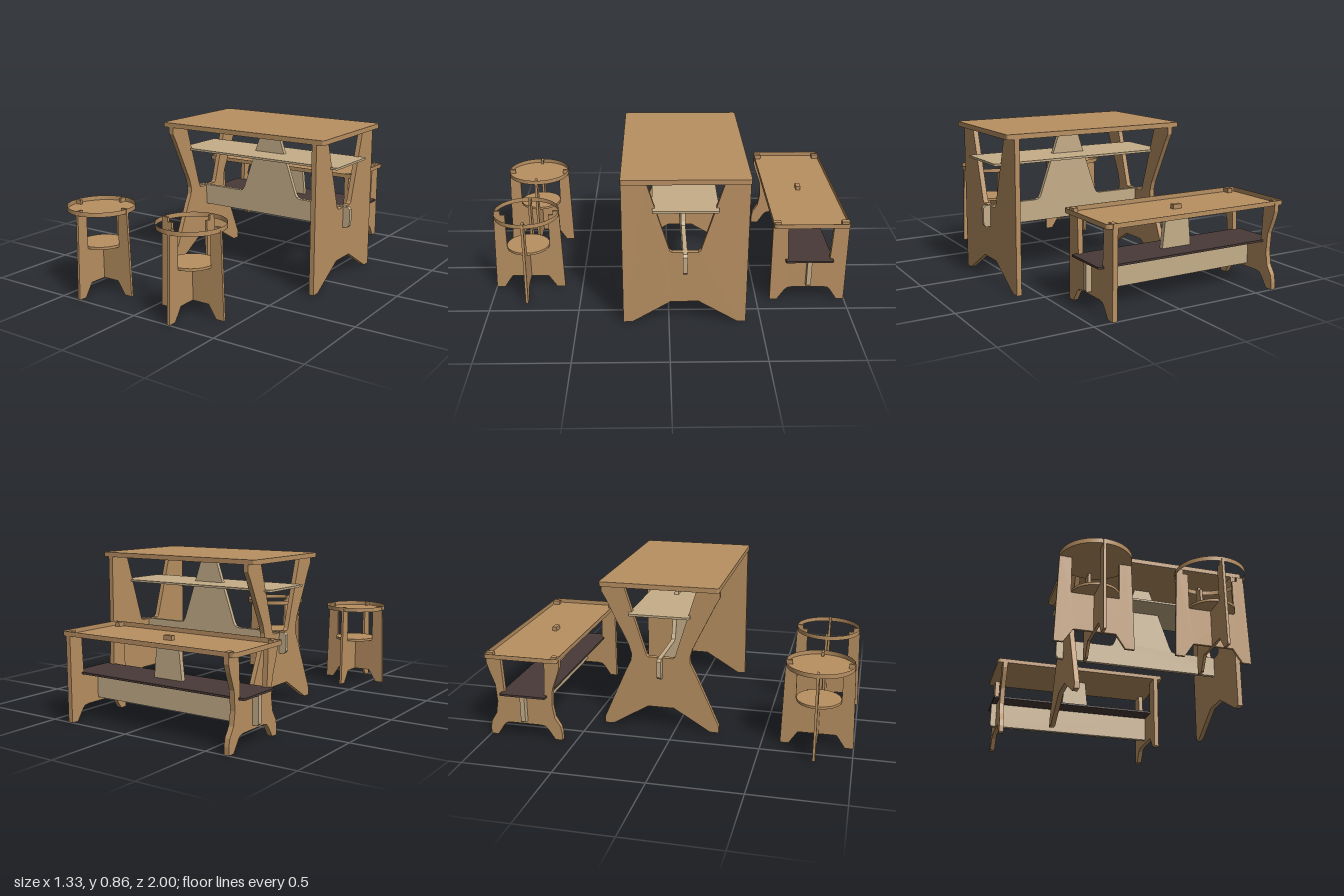
import * as THREE from 'three';

const wood = new THREE.MeshStandardMaterial({ color: 0xb89062, side: THREE.DoubleSide });
wood.name = 'wood';
const pale = new THREE.MeshStandardMaterial({ color: 0xc5ae89 });
pale.name = 'paleWood';
const dark = new THREE.MeshStandardMaterial({ color: 0x483a37 });
dark.name = 'darkBrown';

function add(parent, name, geometry, material) {
  const mesh = new THREE.Mesh(geometry, material);
  mesh.name = name;
  parent.add(mesh);
  return mesh;
}

// Symmetric outline from its right half, listed from bottom centre to top centre
function mirrored(half) {
  const left = half.map(([x, y]) => [-x, y]).reverse();
  return new THREE.Shape([...half, ...left].map(([x, y]) => new THREE.Vector2(x, y)));
}

// Board cut from a shape, centred on its thickness
function board(shape, thickness) {
  return new THREE.ExtrudeGeometry(shape, { depth: thickness, bevelEnabled: false, curveSegments: 6 })
    .translate(0, 0, -thickness / 2);
}

function roundedRect(w, h, r, Type = THREE.Shape) {
  const s = new Type();
  const x = w / 2 - r, y = h / 2 - r;
  s.absarc(x, y, r, 0, Math.PI / 2);
  s.absarc(-x, y, r, Math.PI / 2, Math.PI);
  s.absarc(-x, -y, r, Math.PI, Math.PI * 1.5);
  s.absarc(x, -y, r, Math.PI * 1.5, Math.PI * 2);
  s.closePath();
  return s;
}

// Upright end panel lying in the zy plane
function endPanel(parent, name, half, x, z) {
  const mesh = add(parent, name, board(mirrored(half), 0.028).rotateY(-Math.PI / 2), wood);
  mesh.position.set(x, 0, z);
}

function slab(parent, name, material, w, d, r, x, y0, y1, z) {
  const geometry = board(roundedRect(w, d, r), y1 - y0).rotateX(-Math.PI / 2);
  add(parent, name, geometry, material).position.set(x, (y0 + y1) / 2, z);
}

function makeTable() {
  const table = new THREE.Group();
  table.name = 'table';
  const cx = 0.133, cz = -0.085;
  slab(table, 'tableTop', wood, 1.06, 0.667, 0.012, cx, 0.828, 0.855, cz);
  slab(table, 'tableShelf', pale, 1.06, 0.345, 0.01, cx, 0.67, 0.682, cz);

  // End panels with a V opening; one has a waisted outline
  const foot = [[0.075, 0.127], [0.285, 0], [0.333, 0]];
  const waist = [[0.333, 0.04], [0.2, 0.34], [0.17, 0.4], [0.168, 0.44], [0.182, 0.49], [0.31, 0.75], [0.333, 0.79]];
  const top = [[0.333, 0.83], [0.205, 0.83], [0.082, 0.435], [0.07, 0.425]];
  endPanel(table, 'tableLeftPanel', [...foot, ...top], 0.608, cz);
  endPanel(table, 'tableRightPanel', [...foot, ...waist, ...top], -0.34, cz);

  // Stretcher with a tall tapering middle
  const beam = board(mirrored([
    [0.515, 0.308], [0.53, 0.323], [0.53, 0.415], [0.515, 0.428],
    [0.205, 0.428], [0.187, 0.435], [0.176, 0.455], [0.047, 0.83],
  ]), 0.024);
  add(table, 'tableStretcher', beam, pale).position.set(cx, 0, cz);
  return table;
}

function makeBench() {
  const bench = new THREE.Group();
  bench.name = 'bench';
  const cx = -0.12, cz = -0.788, w = 1.096, d = 0.42;

  // Seat: flat base with a thin raised rim
  const seat = new THREE.ShapeGeometry(roundedRect(w, d, 0.02)).rotateX(-Math.PI / 2);
  add(bench, 'benchSeat', seat, wood).position.set(cx, 0.463, cz);
  const rim = roundedRect(w, d, 0.02);
  rim.holes.push(roundedRect(w - 0.006, d - 0.006, 0.017, THREE.Path));
  add(bench, 'benchRim', board(rim, 0.025).rotateX(-Math.PI / 2), wood).position.set(cx, 0.475, cz);
  slab(bench, 'benchShelf', dark, w, 0.265, 0.008, cx, 0.249, 0.26, cz);

  // End panels with tenons rising through the seat
  const foot = [[0.09, 0.08], [0.115, 0.075], [0.13, 0.06], [0.17, 0], [0.211, 0]];
  const waist = [[0.211, 0.04], [0.203, 0.08], [0.172, 0.13], [0.16, 0.2], [0.167, 0.3], [0.2, 0.39], [0.211, 0.43]];
  const top = [[0.211, 0.487], [0.168, 0.487], [0.168, 0.462], [0.127, 0.462], [0.117, 0.255]];
  endPanel(bench, 'benchLeftPanel', [...foot, ...top], 0.382, cz);
  endPanel(bench, 'benchRightPanel', [...foot, ...waist, ...top], -0.62, cz);

  // Stretcher with a central support and tenon
  const beam = board(mirrored([
    [0.54, 0.1], [0.548, 0.108], [0.548, 0.249], [0.091, 0.249],
    [0.068, 0.462], [0.025, 0.462],
  ]), 0.026);
  add(bench, 'benchStretcher', beam, pale).position.set(cx, 0, cz);
  add(bench, 'benchTenon', new THREE.BoxGeometry(0.05, 0.025, 0.026), wood).position.set(cx, 0.4745, cz);
  return bench;
}

function makeStool(name, x, hasSeat) {
  const stool = new THREE.Group();
  stool.name = name;
  // Two crossed leg boards
  const legs = mirrored([
    [0.105, 0.072], [0.153, 0], [0.2, 0], [0.184, 0.487], [0.148, 0.487],
    [0.148, 0.462], [0.122, 0.462], [0.122, 0.268],
  ]);
  for (const turn of [0, Math.PI / 2]) {
    add(stool, 'stoolLegBoard', board(legs, 0.014), wood).rotation.y = turn;
  }
  const shelf = new THREE.CylinderGeometry(0.121, 0.121, 0.014, 40);
  add(stool, 'stoolShelf', shelf, wood).position.y = 0.273;
  // Thin rim, with a seat disc at its lower edge
  const rim = new THREE.CylinderGeometry(0.183, 0.183, 0.025, 48, 1, true);
  add(stool, 'stoolRim', rim, wood).position.y = 0.4745;
  if (hasSeat) {
    const seat = new THREE.CircleGeometry(0.183, 48).rotateX(-Math.PI / 2);
    add(stool, 'stoolSeat', seat, wood).position.y = 0.463;
  }
  stool.position.set(x, 0, 0.8);
  return stool;
}

export function createModel() {
  const model = new THREE.Group();
  model.name = 'tableBenchAndStools';
  model.add(makeTable(), makeBench());
  model.add(makeStool('rightStool', -0.385, true), makeStool('leftStool', 0.225, false));
  return model;
}
